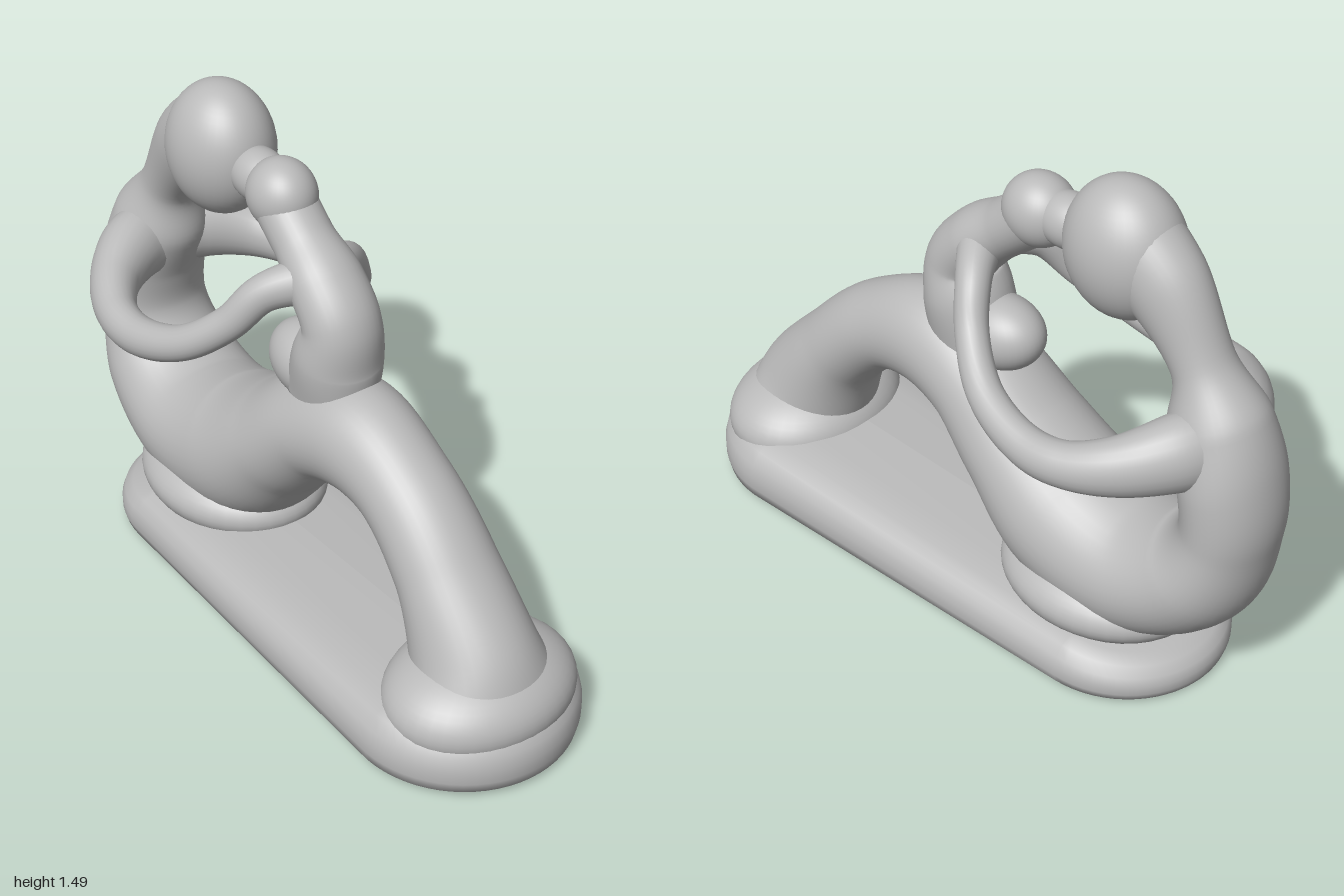
import * as THREE from 'three';

const stone = new THREE.MeshStandardMaterial({ color: 0xbababa });
stone.name = 'grey stone';

// Smooth closed skin over rows of points; each row runs round the part
function skin(name, rows) {
  const cols = rows[0].length, pos = [], index = [];
  rows.forEach(row => row.forEach(p => pos.push(p.x, p.y, p.z)));
  for (let i = 0; i < rows.length - 1; i++) {
    for (let j = 0; j < cols; j++) {
      const k = (j + 1) % cols;
      const a = i * cols + j, b = i * cols + k, c = a + cols, d = b + cols;
      index.push(a, b, c, b, d, c);
    }
  }
  const geo = new THREE.BufferGeometry();
  geo.setAttribute('position', new THREE.Float32BufferAttribute(pos, 3));
  geo.setIndex(index);
  geo.computeVertexNormals();
  const mesh = new THREE.Mesh(geo, stone);
  mesh.name = name;
  return mesh;
}

// Limb swept through sections [x, y, z, radius, radius along ref]
function limb(name, sections, ref, steps = 60, cols = 32) {
  const path = new THREE.CatmullRomCurve3(sections.map(s => new THREE.Vector3(s[0], s[1], s[2])));
  const size = new THREE.CatmullRomCurve3(sections.map(s => new THREE.Vector3(s[3], s[4], 0)));
  const rows = [];
  for (let i = -1; i <= steps + 1; i++) {
    const u = THREE.MathUtils.clamp(i / steps, 0, 1);
    const c = path.getPoint(u), t = path.getTangent(u), r = size.getPoint(u);
    if (i < 0 || i > steps) r.set(0, 0, 0);
    const n = ref.clone().addScaledVector(t, -ref.dot(t)).normalize();
    const b = t.clone().cross(n);
    const row = [];
    for (let j = 0; j < cols; j++) {
      const a = j / cols * Math.PI * 2;
      row.push(c.clone().addScaledVector(n, r.y * Math.cos(a)).addScaledVector(b, r.x * Math.sin(a)));
    }
    rows.push(row);
  }
  return skin(name, rows);
}

function ellipsoid(name, x, y, rx, ry, rz, tilt = 0) {
  const mesh = new THREE.Mesh(new THREE.SphereGeometry(1, 40, 28), stone);
  mesh.scale.set(rx, ry, rz);
  mesh.position.set(x, y, 0);
  mesh.rotation.z = tilt;
  mesh.name = name;
  return mesh;
}

// Long rounded plinth, lower at the -x end
function plinth() {
  const layers = [[0, 0.008], [0.89, 0.01], [0.89, 0.01], [0.98, 0.028], [1, 0.06], [1, 0.1],
    [0.97, 0.14], [0.89, 0.175], [0.76, 0.198], [0.5, 0.212], [0, 0.218]];
  const rows = layers.map(([k, y]) => {
    const row = [];
    for (let j = 0; j < 64; j++) {
      const a = (j + 0.5) / 64 * Math.PI * 2, right = Math.sin(a) > 0;
      const r = (right ? 0.338 : 0.31) * k;
      const x = (right ? 0.66 : -0.51) + r * Math.sin(a);
      const low = 0.62 + 0.38 * THREE.MathUtils.smoothstep(x, -0.85, -0.1);
      row.push(new THREE.Vector3(x, y * low, r * Math.cos(a)));
    }
    return row;
  });
  return skin('plinth', rows);
}

export function createModel() {
  const group = new THREE.Group();
  group.name = 'seated mother and child sculpture';
  const Y = new THREE.Vector3(0, 1, 0), Z = new THREE.Vector3(0, 0, 1);

  group.add(plinth());

  // Mother: one flowing form from neck through hips, thigh and knee to foot
  group.add(limb('motherBody', [
    [-0.48, 1.35, 0, 0.135, 0.125],
    [-0.605, 1.25, 0, 0.125, 0.11],
    [-0.735, 1.07, 0, 0.085, 0.09],
    [-0.80, 0.92, 0, 0.14, 0.14],
    [-0.855, 0.76, 0, 0.135, 0.165],
    [-0.865, 0.60, 0, 0.13, 0.165],
    [-0.79, 0.425, 0, 0.165, 0.20],
    [-0.59, 0.315, 0, 0.195, 0.225],
    [-0.34, 0.35, 0, 0.215, 0.23],
    [-0.14, 0.50, 0, 0.175, 0.205],
    [0.03, 0.64, 0, 0.16, 0.175],
    [0.20, 0.69, 0, 0.165, 0.155],
    [0.41, 0.63, 0, 0.135, 0.14],
    [0.585, 0.475, 0, 0.135, 0.15],
    [0.71, 0.28, 0, 0.18, 0.18],
    [0.775, 0.13, 0, 0.18, 0.25],
  ], Z, 140, 40));
  group.add(ellipsoid('motherHead', -0.47, 1.3, 0.175, 0.2, 0.15, -0.08));

  // Flares where the hips and foot spread into the plinth
  group.add(ellipsoid('hipFlare', -0.44, 0.2, 0.32, 0.13, 0.265));
  group.add(ellipsoid('footFlare', 0.74, 0.175, 0.235, 0.15, 0.29));

  // Child: body, lap and head touching the mother's face
  group.add(limb('childBody', [
    [-0.17, 1.27, 0, 0.085, 0.09],
    [-0.075, 1.19, 0, 0.083, 0.09],
    [0.025, 1.11, 0, 0.095, 0.11],
    [0.10, 1.01, 0, 0.1, 0.115],
    [0.085, 0.90, 0, 0.125, 0.13],
    [0.05, 0.75, 0, 0.15, 0.11],
  ], Z));
  group.add(ellipsoid('childLap', -0.03, 0.82, 0.15, 0.11, 0.11, -0.15));
  group.add(ellipsoid('childHead', -0.175, 1.285, 0.108, 0.105, 0.097));
  group.add(ellipsoid('touchingFaces', -0.28, 1.295, 0.11, 0.078, 0.075));

  // Arms joining mother and child, mirrored front and back
  for (const s of [1, -1]) {
    group.add(limb(s > 0 ? 'frontArm' : 'backArm', [
      [-0.81, 0.86, 0, 0.1, 0.12],
      [-0.765, 0.86, s * 0.13, 0.095, 0.11],
      [-0.67, 0.835, s * 0.25, 0.073, 0.085],
      [-0.55, 0.815, s * 0.315, 0.06, 0.066],
      [-0.42, 0.815, s * 0.325, 0.055, 0.06],
      [-0.25, 0.87, s * 0.29, 0.05, 0.052],
      [-0.13, 0.97, s * 0.215, 0.047, 0.05],
      [-0.065, 1.075, s * 0.14, 0.05, 0.055],
      [0.01, 1.12, s * 0.03, 0.065, 0.07],
    ], Y, 70, 24));
  }
  return group;
}
